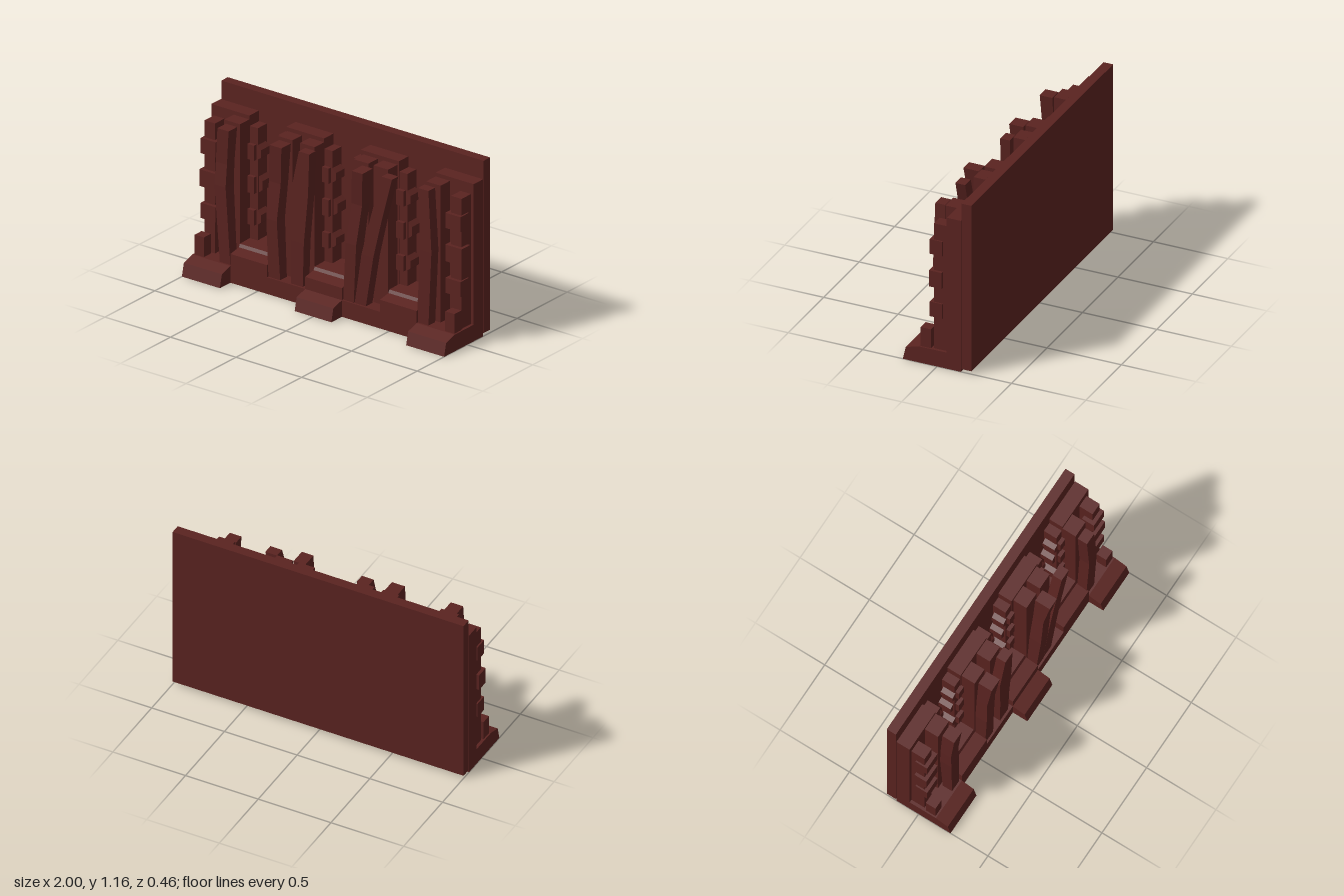
import * as THREE from 'three';

export function createModel() {
  const root = new THREE.Group();
  const mat = new THREE.MeshStandardMaterial({ color: 0x5a2320, flatShading: true });

  const add = (name, geo) => {
    const mesh = new THREE.Mesh(geo, mat);
    mesh.name = name;
    root.add(mesh);
    return mesh;
  };

  // Box given by its limits on each axis
  const box = (name, x0, x1, y0, y1, z0, z1) => {
    const geo = new THREE.BoxGeometry(x1 - x0, y1 - y0, z1 - z0);
    add(name, geo.translate((x0 + x1) / 2, (y0 + y1) / 2, (z0 + z1) / 2));
  };

  // Profile of [z, y] points swept from x0 to x1
  const sweep = (name, points, x0, x1) => {
    const shape = new THREE.Shape(points.map(([z, y]) => new THREE.Vector2(-z, y)));
    const geo = new THREE.ExtrudeGeometry(shape, { depth: x1 - x0, bevelEnabled: false });
    add(name, geo.rotateY(Math.PI / 2).translate(x0, 0, 0));
  };

  // Crooked post: levels of [y, left x, right x, front z], bottom to top
  const crookedPost = (levels, back = 0.045) => {
    const n = levels.length - 1;
    const geo = new THREE.BoxGeometry(1, 1, 1, 1, n, 1);
    const p = geo.attributes.position;
    for (let i = 0; i < p.count; i++) {
      const [y, x0, x1, front] = levels[Math.round((p.getY(i) + 0.5) * n)];
      p.setXYZ(i, p.getX(i) < 0 ? x0 : x1, y, p.getZ(i) < 0 ? back : front);
    }
    add('crookedPost', geo);
  };

  // Back panel
  box('backPanel', -1, 1, 0.02, 1.16, -0.23, -0.165);

  // Plinth, with sloping feet standing out from it
  box('plinth', -1, 1, 0, 0.11, -0.16, 0.125);
  const foot = [[0.12, 0], [0.23, 0], [0.21, 0.085], [0.125, 0.11], [0.12, 0.11]];
  for (const [x0, x1] of [[-1, -0.71], [-0.14, 0.14], [0.71, 1]]) sweep('foot', foot, x0, x1);

  // Stepped sills at the bottom of the recesses
  const sill = [[-0.16, 0.1], [0.125, 0.1], [0.125, 0.19], [0.04, 0.205], [0.03, 0.225], [-0.16, 0.23]];
  for (const x of [-0.57, 0, 0.57]) sweep('sill', sill, x - 0.14, x + 0.14);

  // Wide pilasters
  for (const x of [-0.855, -0.285, 0.285, 0.855]) {
    box('pilaster', x - 0.145, x + 0.145, 0.1, 1.04, -0.16, -0.065);
  }

  // Straight posts in front of the pilasters
  for (const [x0, x1] of [[-0.83, -0.71], [-0.42, -0.31], [-0.25, -0.14], [0.16, 0.27], [0.31, 0.42], [0.71, 0.82]]) {
    box('straightPost', x0, x1, 0.1, 1.015, -0.07, 0.03);
  }

  // Crooked front posts
  crookedPost([[0.1, -0.8, -0.72, 0.112], [0.62, -0.83, -0.745, 0.127], [0.77, -0.825, -0.74, 0.12], [1, -0.805, -0.72, 0.13]]);
  crookedPost([[0.1, -0.43, -0.34, 0.112], [0.5, -0.435, -0.355, 0.127], [0.75, -0.42, -0.33, 0.12], [1, -0.4, -0.31, 0.14]]);
  crookedPost([[0.1, -0.26, -0.17, 0.11], [0.4, -0.26, -0.16, 0.112], [0.72, -0.26, -0.13, 0.11], [1, -0.2, -0.12, 0.11]]);
  crookedPost([[0.1, 0.14, 0.22, 0.112], [0.5, 0.17, 0.25, 0.127], [0.77, 0.21, 0.29, 0.12], [1, 0.235, 0.315, 0.15]]);
  crookedPost([[0.1, 0.225, 0.31, 0.11], [0.45, 0.28, 0.37, 0.112], [0.7, 0.345, 0.43, 0.11], [1, 0.43, 0.51, 0.11]]);
  crookedPost([[0.1, 0.7, 0.79, 0.112], [0.6, 0.73, 0.815, 0.115], [1, 0.71, 0.79, 0.112]]);

  const rows = [[0.33, 0.43], [0.54, 0.65], [0.76, 0.86]];

  // Ribs on both sides of each recess, with front and side blocks
  for (const centre of [-0.57, 0, 0.57]) {
    for (const s of [-1, 1]) {
      const span = (a, b) => [centre + s * a, centre + s * b].sort((p, q) => p - q);
      box('recessRib', ...span(0.08, 0.142), 0.2, 0.97, -0.16, -0.07);
      for (const [y0, y1] of rows) {
        box('ribFrontBlock', ...span(0.09, 0.145), y0, y1, -0.08, -0.045);
        const tip = centre + s * 0.05, root0 = centre + s * 0.082;
        const shape = new THREE.Shape([[root0, y0], [tip, y0 + 0.025], [tip, y1 - 0.025], [root0, y1]]
          .map(([x, y]) => new THREE.Vector2(x, y)));
        const geo = new THREE.ExtrudeGeometry(shape, { depth: 0.085, bevelEnabled: false });
        add('ribSideBlock', geo.translate(0, 0, y0 === 0.54 ? -0.165 : -0.15));
      }
    }
  }

  // Outer ribs with their blocks, and the short corner posts
  for (const s of [-1, 1]) {
    const span = (a, b) => [s * a, s * b].sort((p, q) => p - q);
    box('outerRib', ...span(0.9, 0.98), 0.1, 0.97, -0.07, 0.03);
    rows.forEach(([y0, y1], i) => {
      box('outerBlock', ...span(0.875, i === 1 ? 1 : 0.99), y0, y1, -0.03, 0.055);
    });
    box('cornerPost', ...span(0.92, 0.99), 0.1, 0.24, 0.045, 0.115);
  }

  return root;
}
